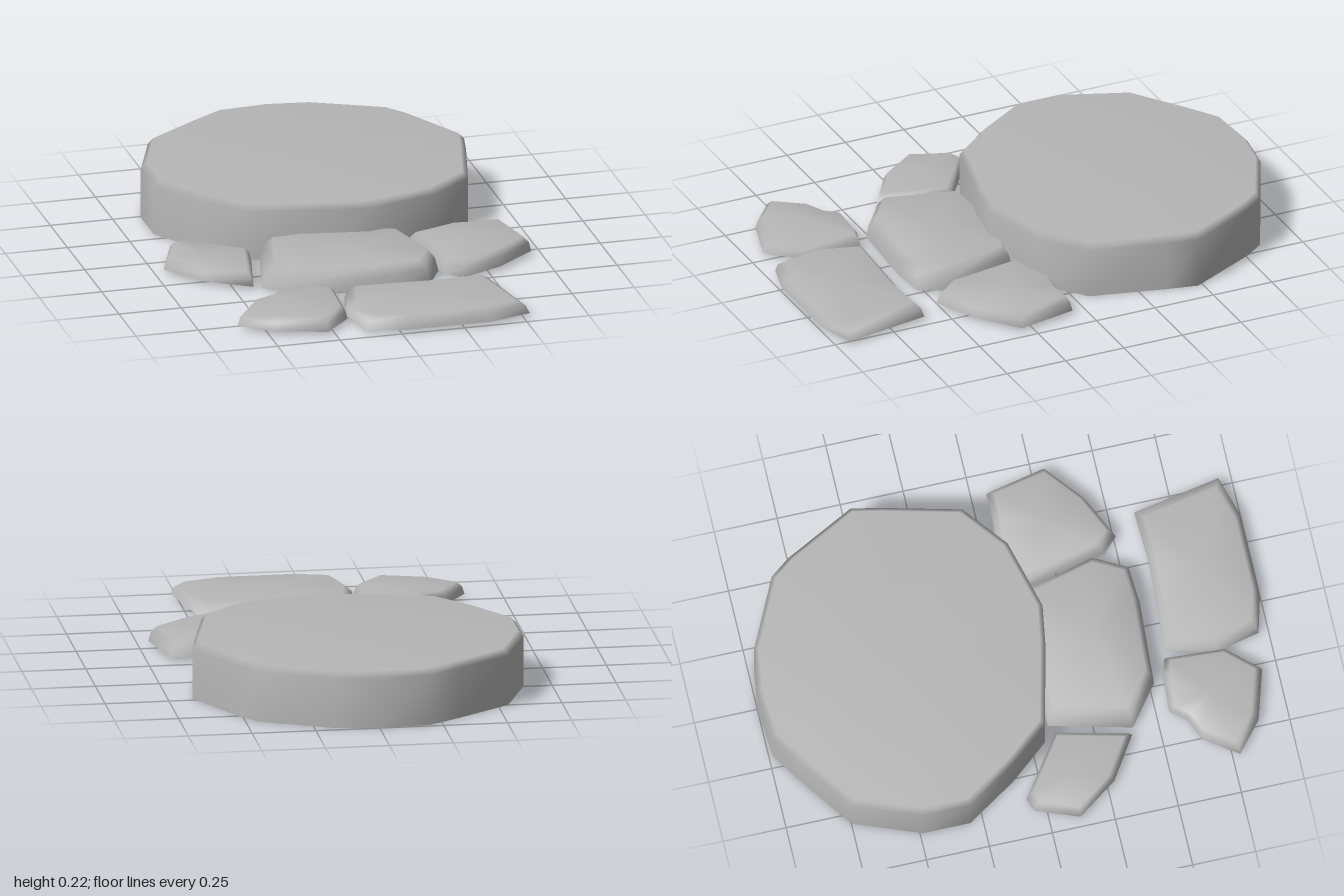
import * as THREE from 'three';

const stone = new THREE.MeshStandardMaterial({ color: 0xb6b6b6, side: THREE.DoubleSide });
stone.name = 'grey stone';

// Open-bottomed slab: outline [x, z] lofted through rings [y, scale], closed by a fan on top
function slab(name, outline, rings, topY) {
  const n = outline.length;
  const cx = outline.reduce((s, p) => s + p[0], 0) / n;
  const cz = outline.reduce((s, p) => s + p[1], 0) / n;
  const pos = [], idx = [];
  for (const [y, s] of rings)
    for (const [x, z] of outline) pos.push(cx + (x - cx) * s, y, cz + (z - cz) * s);
  pos.push(cx, topY, cz);
  const last = rings.length - 1;
  for (let i = 0; i < n; i++) {
    const j = (i + 1) % n;
    for (let r = 0; r < last; r++) {
      const a = r * n, b = a + n;
      idx.push(a + j, a + i, b + i, a + j, b + i, b + j);
    }
    idx.push(rings.length * n, last * n + j, last * n + i);
  }
  const geo = new THREE.BufferGeometry();
  geo.setAttribute('position', new THREE.Float32BufferAttribute(pos, 3));
  geo.setIndex(idx);
  geo.computeVertexNormals();
  const mesh = new THREE.Mesh(geo, stone);
  mesh.name = name;
  return mesh;
}

// Low paving stone with a softly bevelled rim
const paver = (name, outline, base, top) => slab(name, outline, [
  [base, 1], [base + (top - base) * 0.55, 0.96], [top - 0.004, 0.86],
], top);

export function createModel() {
  const group = new THREE.Group();
  group.name = 'steppingStones';

  // Large round platform
  group.add(slab('roundPlatform', [
    [0, -1], [0.17, -0.975], [0.45, -0.84], [0.51, -0.76], [0.655, -0.48], [0.63, -0.36],
    [0.555, -0.06], [0.38, 0.08], [0.1, 0.155], [-0.06, 0.13], [-0.38, 0.055], [-0.51, -0.1],
    [-0.64, -0.3], [-0.64, -0.49], [-0.54, -0.75], [-0.33, -0.9], [-0.2, -0.985],
  ], [[0, 1], [0.2, 1], [0.225, 0.965]], 0.225));

  // Row of stones against the platform
  group.add(paver('middleStone', [
    [-0.32, 0.08], [0, 0.06], [0.24, 0.12], [0.31, 0.4], [0.24, 0.53], [0.1, 0.54],
    [-0.24, 0.52], [-0.4, 0.4],
  ], 0.01, 0.108));
  group.add(paver('leftStone', [
    [0.26, 0.12], [0.46, 0.05], [0.55, 0.06], [0.66, 0.06], [0.71, 0.3], [0.55, 0.43],
    [0.38, 0.51], [0.32, 0.45],
  ], 0.015, 0.08));
  group.add(paver('rightStone', [
    [-0.6, -0.07], [-0.36, 0.1], [-0.43, 0.39], [-0.6, 0.28], [-0.715, 0.12], [-0.65, -0.05],
  ], 0.015, 0.07));

  // Front row of stones
  group.add(paver('frontRightStone', [
    [-0.37, 0.55], [-0.22, 0.56], [-0.155, 0.58], [-0.17, 0.82], [-0.28, 0.94], [-0.48, 0.88],
    [-0.6, 0.78], [-0.51, 0.65], [-0.42, 0.61],
  ], 0.015, 0.072));
  group.add(paver('frontLeftStone', [
    [-0.12, 0.59], [0.25, 0.61], [0.46, 0.6], [0.525, 0.95], [0.36, 1], [0.02, 1],
    [-0.13, 0.96], [-0.17, 0.78],
  ], 0.015, 0.072));
  return group;
}
